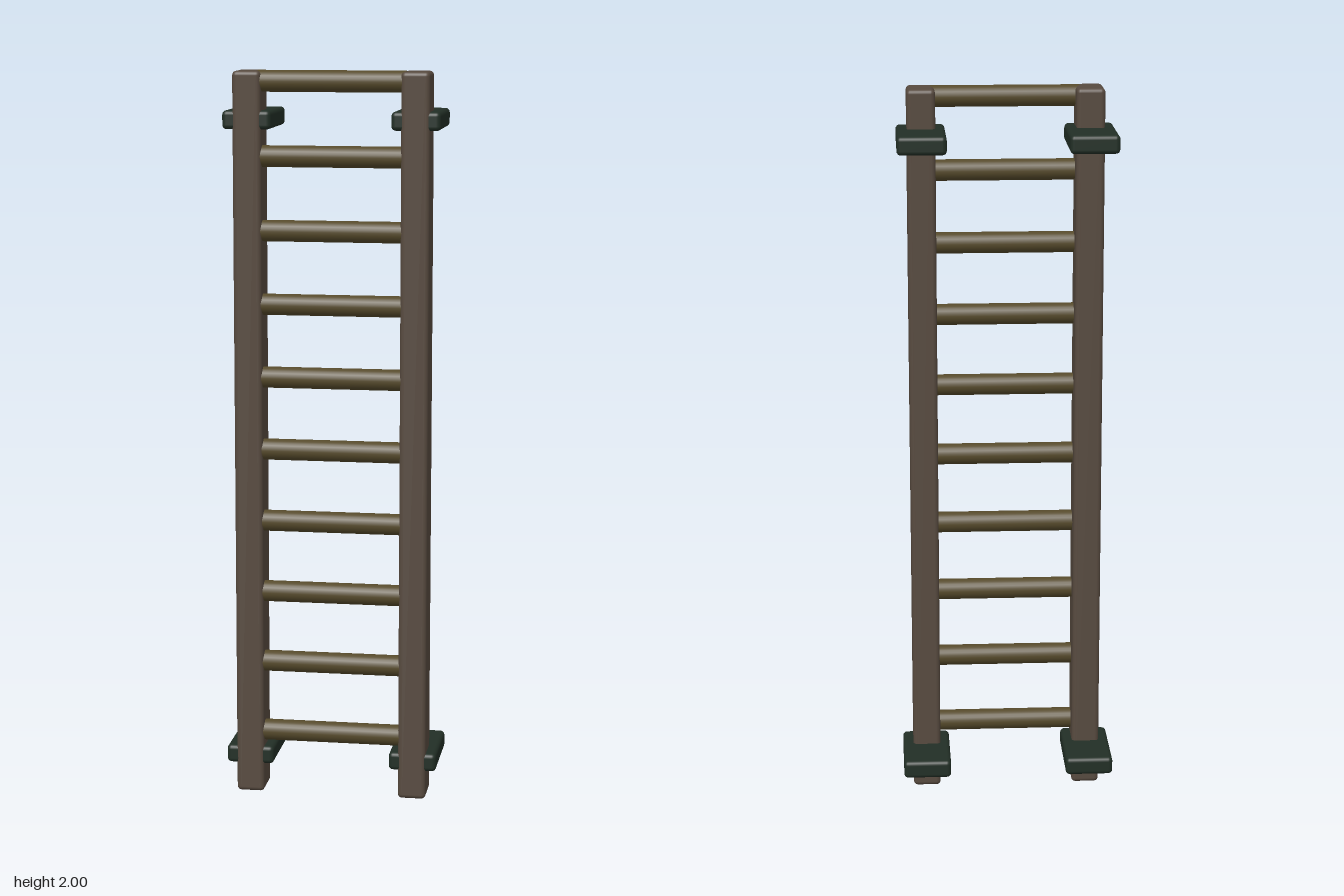
import * as THREE from 'three';
import { RoundedBoxGeometry } from 'three/addons/geometries/RoundedBoxGeometry.js';

function material(name, color) {
  const m = new THREE.MeshStandardMaterial({ color });
  m.name = name;
  return m;
}

export function createModel() {
  const ladder = new THREE.Group();
  ladder.name = 'ladder';
  const railWood = material('greyBrownWood', 0x574a3f);
  const rungWood = material('oliveWood', 0x564a2b);
  const bracketMetal = material('darkGreenMetal', 0x222f26);

  const add = (name, geometry, mat, x, y, z) => {
    const mesh = new THREE.Mesh(geometry, mat);
    mesh.name = name;
    mesh.position.set(x, y, z);
    ladder.add(mesh);
  };

  // Upright rails, each with two wall brackets reaching backwards
  const railGeo = new RoundedBoxGeometry(0.077, 2, 0.107, 3, 0.012);
  const bracketGeo = new RoundedBoxGeometry(0.132, 0.05, 0.234, 3, 0.012);
  for (const [side, s] of [['left', 1], ['right', -1]]) {
    add(side + 'Rail', railGeo, railWood, s * 0.227, 1, 0.064);
    add(side + 'LowerBracket', bracketGeo, bracketMetal, s * 0.228, 0.105, -0.003);
    add(side + 'UpperBracket', bracketGeo, bracketMetal, s * 0.228, 1.87, -0.003);
  }

  // Ten round rungs, set into the rails
  const rungGeo = new THREE.CylinderGeometry(0.029, 0.029, 0.4, 24).rotateZ(Math.PI / 2);
  for (let i = 0; i < 10; i++) {
    add('rung' + (i + 1), rungGeo, rungWood, 0, 0.173 + i * 0.2, 0.084);
  }
  return ladder;
}
